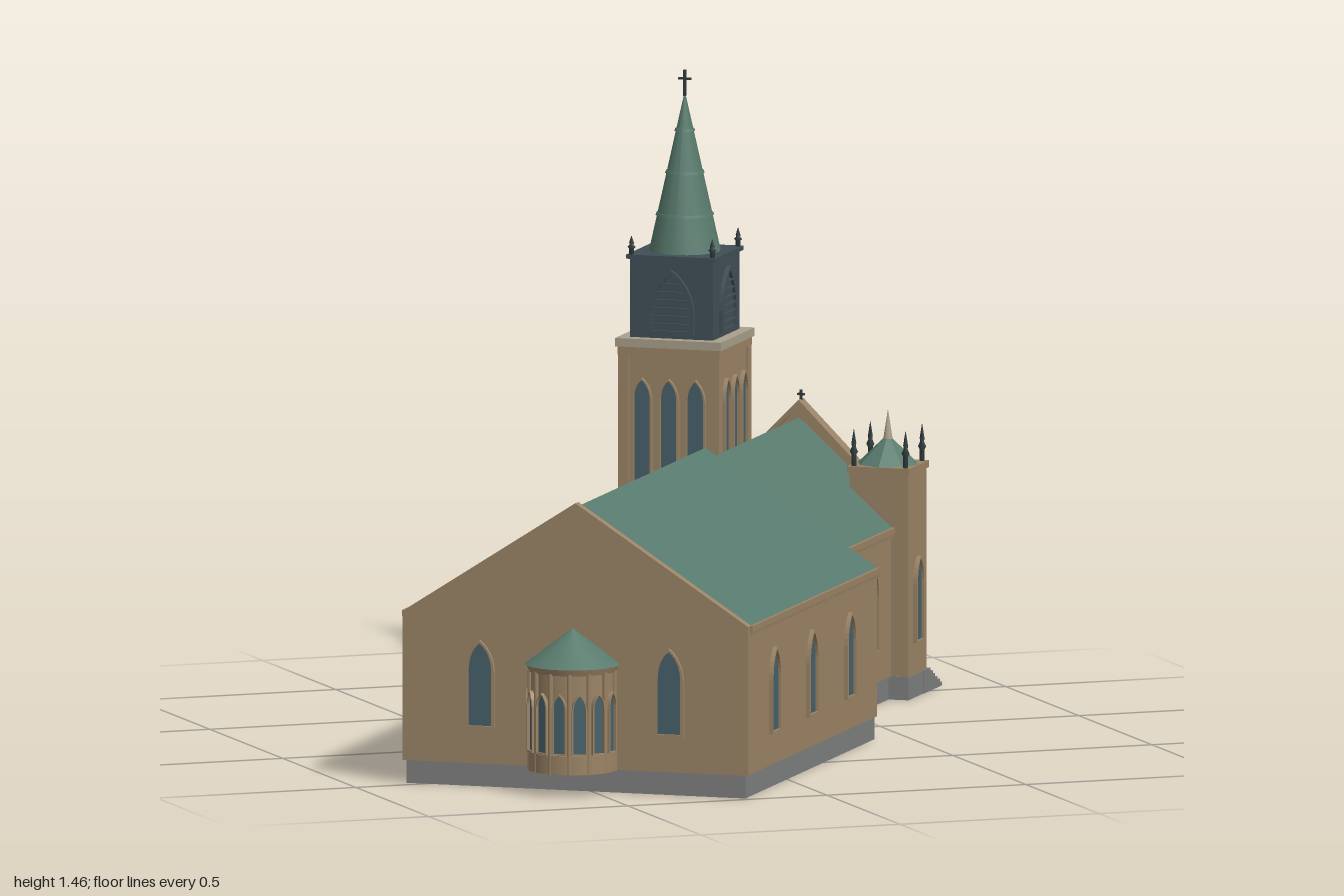
import * as THREE from 'three';
import { mergeGeometries } from 'three/addons/utils/BufferGeometryUtils.js';

const mat = (name, color, extra = {}) => {
  const m = new THREE.MeshStandardMaterial({ color, ...extra });
  m.name = name;
  return m;
};

export function createModel() {
  const wall = mat('sandstone', 0x9b8466);
  const trim = mat('pale stone', 0xaaa08c);
  const roof = mat('green copper', 0x587a6d);
  const stone = mat('grey plinth', 0x7e807f);
  const slate = mat('dark slate', 0x414e57);
  const glass = mat('window glass', 0x48606a);
  const iron = mat('dark iron', 0x2f3a3c);
  const C = -0.027; // centre line of hall and nave

  const model = new THREE.Group();
  model.name = 'church';
  const body = new THREE.Group();
  body.name = 'building';
  body.rotation.y = 2.4816; // the facade looks along local +z
  model.add(body);

  const add = (name, geo, m, x = 0, y = 0, z = 0, parent = body) => {
    const mesh = new THREE.Mesh(geo, m);
    mesh.name = name;
    mesh.position.set(x, y, z);
    parent.add(mesh);
    return mesh;
  };
  // box given by its ranges
  const block = (name, m, x0, x1, y0, y1, z0, z1) =>
    add(name, new THREE.BoxGeometry(x1 - x0, y1 - y0, z1 - z0), m, (x0 + x1) / 2, (y0 + y1) / 2, (z0 + z1) / 2);
  const poly = (pts) => new THREE.Shape(pts.map((p) => new THREE.Vector2(...p)));
  const extrude = (shape, depth) =>
    new THREE.ExtrudeGeometry(shape, { depth, bevelEnabled: false, curveSegments: 6 });

  // pointed arch outline standing on y = 0
  const arch = (w, h, Shape = THREE.Shape, y0 = 0) => {
    const s = new Shape();
    const a = w / 2;
    const spring = Math.max(h - w * 1.05, h * 0.35);
    s.moveTo(-a, y0);
    s.lineTo(a, y0);
    s.lineTo(a, spring);
    s.quadraticCurveTo(a * 0.9, spring + (h - spring) * 0.65, 0, h);
    s.quadraticCurveTo(-a * 0.9, spring + (h - spring) * 0.65, -a, spring);
    s.lineTo(-a, y0);
    return s;
  };
  // arched opening with a raised frame; it looks along +z before turning
  const opening = (name, w, h, x, y, z, turn, fill = glass, frame = wall) => {
    const g = new THREE.Group();
    g.name = name;
    const ring = arch(w, h);
    ring.holes.push(arch(w * 0.8, h - w * 0.1, THREE.Path, w * 0.08));
    add(name + 'Frame', extrude(ring, 0.012), frame, 0, 0, -0.002, g);
    add(name + 'Pane', extrude(arch(w * 0.9, h - w * 0.05), 0.004), fill, 0, 0, -0.001, g);
    g.position.set(x, y, z);
    g.rotation.y = turn;
    body.add(g);
    return g;
  };
  const E = Math.PI / 2, N = Math.PI, W = -Math.PI / 2;

  // side walls, pitched roof, cornice and dentils of a long wing
  const wing = (name, half, z0, z1, ridge, windowsZ) => {
    block(name + 'Plinth', stone, C - half + 0.006, C + half - 0.006, 0, 0.055, z0, z1);
    const dentils = [];
    for (const s of [-1, 1]) {
      const x = C + s * half;
      block(name + 'SideWall', wall, Math.min(x, x - s * 0.02), Math.max(x, x - s * 0.02), 0.055, 0.405, z0, z1);
      add(name + 'Cornice', new THREE.BoxGeometry(0.012, 0.014, z1 - z0), wall, x + s * 0.003, 0.403, (z0 + z1) / 2);
      for (let z = z0 + 0.01; z < z1; z += 0.02)
        dentils.push(new THREE.BoxGeometry(0.008, 0.008, 0.009).translate(x + s * 0.003, 0.392, z));
      for (const z of windowsZ) opening(name + 'Window', 0.072, 0.205, x, 0.13, z, s * E);
    }
    add(name + 'Dentils', mergeGeometries(dentils), wall);
    const r = half + 0.001;
    const chevron = poly([[-r, 0.41], [-r + 0.025, 0.41], [0, ridge - 0.02], [r - 0.025, 0.41], [r, 0.41], [0, ridge]]);
    add(name + 'Roof', extrude(chevron, z1 - z0), roof, C, 0, z0);
  };
  wing('hall', 0.425, -0.89, 0.106, 0.676, [-0.7, -0.41, -0.116]);
  wing('nave', 0.262, 0.1, 0.845, 0.646, [0.149, 0.352, 0.573]);

  // green infill where the hall roof rises above the nave
  add('hallRoofEnd', extrude(poly([[-0.41, 0.41], [0.41, 0.41], [0, 0.668]]), 0.006), roof, C, 0, 0.098);

  // rear gable
  const gable = (half, peak, eave) =>
    poly([[-half, 0.055], [half, 0.055], [half, eave], [0, peak], [-half, eave]]);
  add('rearGable', extrude(gable(0.428, 0.686, 0.41), 0.024), wall, C, 0, -0.906);
  block('rearPlinth', stone, C - 0.42, C + 0.42, 0, 0.055, -0.9, -0.88);
  for (const s of [-1, 1]) opening('rearWindow', 0.072, 0.21, C + s * 0.234, 0.14, -0.906, N);

  // round apse with pilasters and narrow windows
  const az = -0.925;
  add('apseWall', new THREE.CylinderGeometry(0.1, 0.1, 0.25, 32), wall, C, 0.18, az);
  add('apseCornice', new THREE.CylinderGeometry(0.11, 0.104, 0.016, 32), wall, C, 0.299, az);
  add('apseRoof', new THREE.ConeGeometry(0.113, 0.085, 32), roof, C, 0.349, az);
  add('apseFoot', new THREE.CylinderGeometry(0.106, 0.106, 0.045, 32), wall, C, 0.078, az);
  for (let i = 0; i < 7; i++) {
    const t = N + (i - 3) * 0.46;
    opening('apseWindow', 0.036, 0.145, C + Math.sin(t) * 0.099, 0.102, az + Math.cos(t) * 0.099, t);
    const p = t + 0.23;
    add('apsePilaster', new THREE.CylinderGeometry(0.006, 0.006, 0.24, 8), wall,
      C + Math.sin(p) * 0.102, 0.175, az + Math.cos(p) * 0.102);
  }

  // facade with big window and three portals
  add('facade', extrude(gable(0.268, 0.678, 0.41), 0.026), wall, C, 0, 0.835);
  const coping = poly([[-0.2, 0.474], [0, 0.672], [0.2, 0.474], [0.2, 0.488], [0, 0.688], [-0.2, 0.488]]);
  add('facadeCoping', extrude(coping, 0.038), wall, C, 0, 0.83);
  block('facadePlinth', stone, C - 0.26, C + 0.26, 0, 0.055, 0.83, 0.868);
  opening('greatWindow', 0.18, 0.24, C, 0.305, 0.861, 0);
  for (const [x, h] of [[-0.04, 0.16], [0, 0.21], [0.04, 0.16]])
    block('mullion', trim, C + x - 0.003, C + x + 0.003, 0.32, 0.32 + h, 0.862, 0.869);
  block('transom', trim, C - 0.075, C + 0.075, 0.405, 0.411, 0.862, 0.869);
  for (const i of [-1, 0, 1]) opening('portal', 0.09, 0.145, C + i * 0.1, 0.055, 0.861, 0, wall);
  const cross = (name, m, x, y, z, h) => {
    block(name + 'Post', m, x - 0.003, x + 0.003, y, y + h, z - 0.003, z + 0.003);
    block(name + 'Arm', m, x - h * 0.25, x + h * 0.25, y + h * 0.62, y + h * 0.62 + 0.005, z - 0.003, z + 0.003);
  };
  cross('gableCross', iron, C, 0.675, 0.85, 0.035);

  // entrance steps
  const stair = [[0, 0]];
  for (let i = 0; i < 6; i++) {
    const z = 0.982 - i * 0.018;
    stair.push([z, i * 0.0092], [z, (i + 1) * 0.0092]);
  }
  stair.push([0.84, 0.0552], [0.84, 0]);
  stair.shift();
  add('entranceSteps', extrude(poly(stair), 0.589).rotateY(-E), stone, 0.255);

  // slim pinnacle with a ball and pointed tip
  const pinnacle = (x, y, z, h) => {
    const pts = [[0, -0.25], [0.006, -0.2], [0.006, 0.3], [0.01, 0.38], [0.005, 0.5], [0.006, 0.6], [0, 1]];
    add('pinnacle', new THREE.LatheGeometry(pts.map(([r, t]) => new THREE.Vector2(r, t * h)), 8), iron, x, y, z);
  };
  const corners = (x, z, d, fn) => {
    for (const sx of [-1, 1]) for (const sz of [-1, 1]) fn(x + sx * d, z + sz * d);
  };
  const square = (name, m, x, z, r, y0, y1) => block(name, m, x - r, x + r, y0, y1, z - r, z + r);
  // fn(x, z, turn, offset) on each face of a square shaft
  const faces = (x, z, r, offsets, fn) => {
    for (const t of [0, E, N, W]) for (const o of offsets)
      fn(x + Math.sin(t) * r + Math.cos(t) * o, z + Math.cos(t) * r - Math.sin(t) * o, t);
  };

  // small turret
  const ux = -0.258, uz = 0.8;
  square('turretPlinth', stone, ux, uz, 0.074, 0, 0.055);
  square('turretShaft', wall, ux, uz, 0.072, 0.055, 0.54);
  square('turretCornice', wall, ux, uz, 0.077, 0.535, 0.552);
  faces(ux, uz, 0.072, [0], (x, z, t) => opening('turretWindow', 0.06, 0.205, x, 0.13, z, t));
  add('turretRoof', new THREE.ConeGeometry(0.074, 0.07, 8).toNonIndexed(), roof, ux, 0.587, uz)
    .geometry.computeVertexNormals();
  add('turretFinial', new THREE.ConeGeometry(0.013, 0.08, 8), trim, ux, 0.642, uz);
  corners(ux, uz, 0.064, (x, z) => pinnacle(x, 0.552, z, 0.09));

  // bell tower shaft
  const tx = 0.256, tz = 0.835;
  square('towerPlinth', stone, tx, tz, 0.124, 0, 0.055);
  square('towerShaft', wall, tx, tz, 0.12, 0.055, 0.81);
  corners(tx, tz, 0.112, (x, z) => square('towerPilaster', wall, x, z, 0.013, 0.055, 0.81));
  square('towerCorniceLower', wall, tx, tz, 0.126, 0.795, 0.815);
  square('towerCornice', trim, tx, tz, 0.131, 0.815, 0.835);
  faces(tx, tz, 0.12, [-0.066, 0, 0.066], (x, z, t) => opening('upperWindow', 0.05, 0.26, x, 0.482, z, t));
  faces(tx, tz, 0.12, [-0.042, 0.042], (x, z, t) => opening('lowerWindow', 0.06, 0.18, x, 0.13, z, t));

  // slate belfry with louvred arches
  square('belfry', slate, tx, tz, 0.103, 0.835, 1.022);
  square('belfryCap', slate, tx, tz, 0.11, 1.022, 1.032);
  faces(tx, tz, 0.103, [0], (x, z, t) => {
    const g = opening('belfryArch', 0.115, 0.155, x, 0.845, z, t, slate, slate);
    for (let i = 0; i < 6; i++)
      add('louvre', new THREE.BoxGeometry(i > 4 ? 0.05 : 0.088, 0.004, 0.008), slate, 0, 0.025 + i * 0.019, 0.006, g);
  });
  corners(tx, tz, 0.1, (x, z) => pinnacle(x, 1.032, z, 0.045));

  // spire with bands and cross
  add('spire', new THREE.ConeGeometry(0.085, 0.38, 16), roof, tx, 1.222, tz);
  for (const y of [1.12, 1.22, 1.32]) {
    const r = (0.085 * (1.412 - y)) / 0.38;
    add('spireBand', new THREE.CylinderGeometry(r + 0.002, r + 0.004, 0.006, 16), roof, tx, y, tz);
  }
  cross('spireCross', iron, tx, 1.4, tz, 0.062);

  return model;
}
